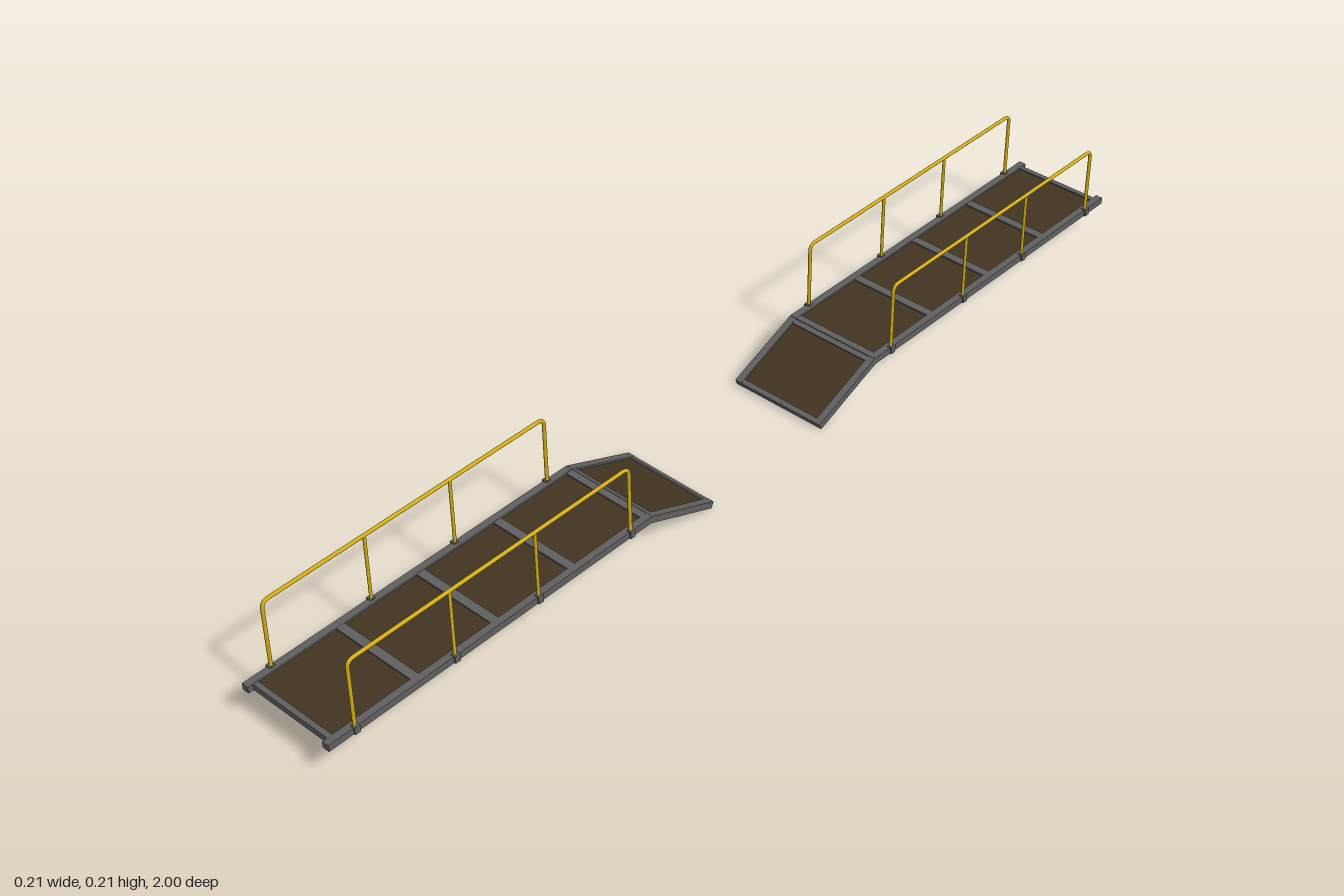
import * as THREE from 'three';

const mat = (name, color) => {
  const m = new THREE.MeshStandardMaterial({ color });
  m.name = name;
  return m;
};

export function createModel() {
  const steel = mat('steel grey', 0x606060);
  const wood = mat('brown decking', 0x433521);
  const yellow = mat('handrail yellow', 0xd2ac12);

  const add = (parent, name, geo, material, x = 0, y = 0, z = 0) => {
    const m = new THREE.Mesh(geo, material);
    m.name = name;
    m.position.set(x, y, z);
    parent.add(m);
  };
  const box = (parent, name, material, w, h, d, x, y, z) =>
    add(parent, name, new THREE.BoxGeometry(w, h, d), material, x, y, z);

  // Framed walkway panel between two z positions, centred on local y = 0;
  // each bar is [z, width]
  const panel = (name, z0, z1, plateEnd, bars) => {
    const g = new THREE.Group();
    g.name = name;
    const len = plateEnd - z0, mid = (plateEnd + z0) / 2;
    box(g, 'underPlate', steel, 0.176, 0.004, len, 0, -0.004, mid);
    box(g, 'decking', wood, 0.174, 0.005, len - 0.004, 0, 0.0005, mid);
    for (const [z, w] of bars) box(g, 'crossBar', steel, 0.174, 0.008, w, 0, 0.002, z);
    for (const s of [1, -1])
      box(g, 'sideRail', steel, 0.014, 0.013, z1 - z0, s * 0.093, 0, (z0 + z1) / 2);
    return g;
  };

  // Handrail: bent tube with end posts, two inner posts and feet
  const handrail = (side) => {
    const g = new THREE.Group();
    g.name = 'handrail';
    const x = side * 0.097, y0 = 0.07, y1 = 0.208, za = 0.342, zb = 0.945, r = 0.014;
    const v = (y, z) => new THREE.Vector3(x, y, z);
    const path = new THREE.CurvePath();
    path.add(new THREE.LineCurve3(v(y0, za), v(y1 - r, za)));
    path.add(new THREE.QuadraticBezierCurve3(v(y1 - r, za), v(y1, za), v(y1, za + r)));
    path.add(new THREE.LineCurve3(v(y1, za + r), v(y1, zb - r)));
    path.add(new THREE.QuadraticBezierCurve3(v(y1, zb - r), v(y1, zb), v(y1 - r, zb)));
    path.add(new THREE.LineCurve3(v(y1 - r, zb), v(y0, zb)));
    add(g, 'railTube', new THREE.TubeGeometry(path, 180, 0.0034, 16, false), yellow);
    for (const z of [0.555, 0.738])
      add(g, 'post', new THREE.CylinderGeometry(0.003, 0.003, y1 - y0, 16), yellow, x, (y0 + y1) / 2, z);
    for (const z of [za, 0.555, 0.738, zb])
      box(g, 'postFoot', steel, 0.011, 0.014, 0.011, side * 0.098, 0.07, z);
    return g;
  };

  // One half: level deck, sloping ramp and two handrails
  const half = (name) => {
    const g = new THREE.Group();
    g.name = name;
    const deck = panel('deck', 0.293, 1, 0.99,
      [[0.3, 0.014], [0.47, 0.017], [0.642, 0.017], [0.813, 0.017], [0.985, 0.01]]);
    deck.position.y = 0.069;
    const ramp = panel('ramp', -0.163, 0.001, 0, [[-0.158, 0.01], [-0.005, 0.01]]);
    ramp.position.set(0, 0.069, 0.294);
    ramp.rotation.x = -0.392;
    g.add(deck, ramp, handrail(1), handrail(-1));
    return g;
  };

  const model = new THREE.Group();
  model.name = 'twinRampWalkway';
  const front = half('frontWalkway');
  const back = half('backWalkway');
  back.rotation.y = Math.PI;
  model.add(front, back);
  return model;
}
